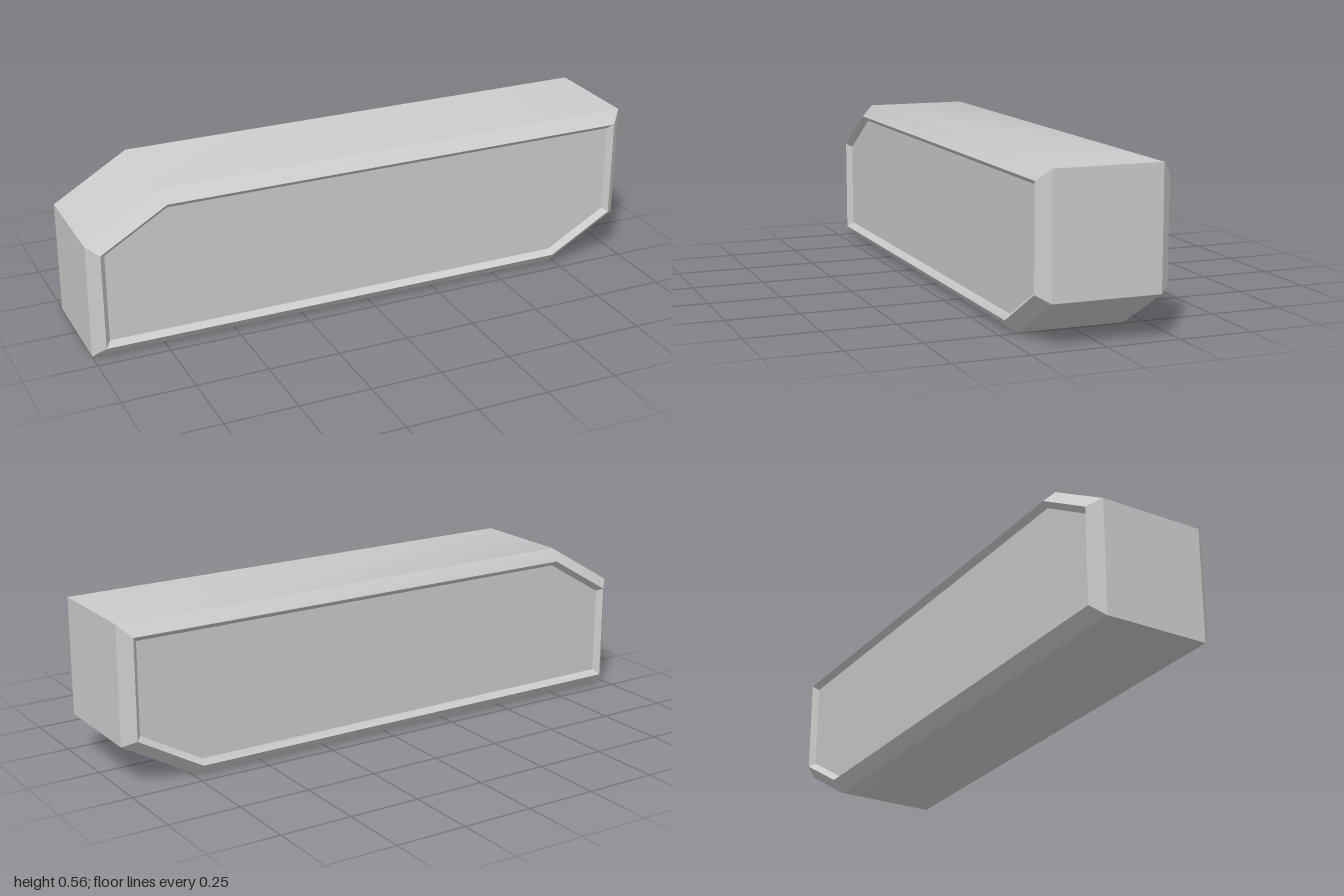
import * as THREE from 'three';
import { toCreasedNormals } from 'three/addons/utils/BufferGeometryUtils.js';

// Outer silhouette, counter-clockwise seen from the front
const OUTLINE = [[-1, 0], [0.74, 0], [1, 0.148], [1, 0.555], [-0.74, 0.555], [-1, 0.4]]
  .map(([x, y]) => new THREE.Vector2(x, y));

// Mitred inward offset of the silhouette, placed at depth z
function ring(inset, z) {
  const n = OUTLINE.length;
  return OUTLINE.map((p, i) => {
    const a = p.clone().sub(OUTLINE[(i + n - 1) % n]).normalize();
    const b = OUTLINE[(i + 1) % n].clone().sub(p).normalize();
    const na = new THREE.Vector2(-a.y, a.x);
    const nb = new THREE.Vector2(-b.y, b.x);
    const miter = na.clone().add(nb).multiplyScalar(inset / (1 + na.dot(nb)));
    return new THREE.Vector3(p.x + miter.x, p.y + miter.y, z);
  });
}

// Skin consecutive rings with quads
function skin(rings) {
  const points = [];
  for (let r = 0; r < rings.length - 1; r++) {
    const a = rings[r], b = rings[r + 1];
    for (let i = 0; i < a.length; i++) {
      const j = (i + 1) % a.length;
      points.push(a[i], a[j], b[j], a[i], b[j], b[i]);
    }
  }
  return new THREE.BufferGeometry().setFromPoints(points);
}

export function createModel() {
  const group = new THREE.Group();
  group.name = 'beveledCase';
  const material = new THREE.MeshStandardMaterial({ color: 0xcccccc });
  const add = (name, geometry) => {
    const mesh = new THREE.Mesh(geometry, material);
    mesh.name = name;
    group.add(mesh);
    return mesh;
  };

  // Panel sits slightly behind the rim on each face
  const rimZ = 0.223, edgeZ = 0.183, panelZ = 0.203, rimInset = 0.04, panelInset = 0.058;

  // Casing: recess wall, outer bevel, side wall, then the same mirrored
  const casing = skin([
    ring(panelInset, -panelZ), ring(rimInset, -rimZ), ring(0, -edgeZ),
    ring(0, edgeZ), ring(rimInset, rimZ), ring(panelInset, panelZ),
  ]);
  add('casing', toCreasedNormals(casing, 0.6));

  // Flat recessed panels, front and back
  const face = new THREE.Shape(ring(panelInset, 0).map((p) => new THREE.Vector2(p.x, p.y)));
  add('frontPanel', new THREE.ShapeGeometry(face)).position.z = panelZ;
  const mirrored = new THREE.Shape(ring(panelInset, 0).map((p) => new THREE.Vector2(-p.x, p.y)));
  const back = add('backPanel', new THREE.ShapeGeometry(mirrored));
  back.rotation.y = Math.PI;
  back.position.z = -panelZ;

  return group;
}
